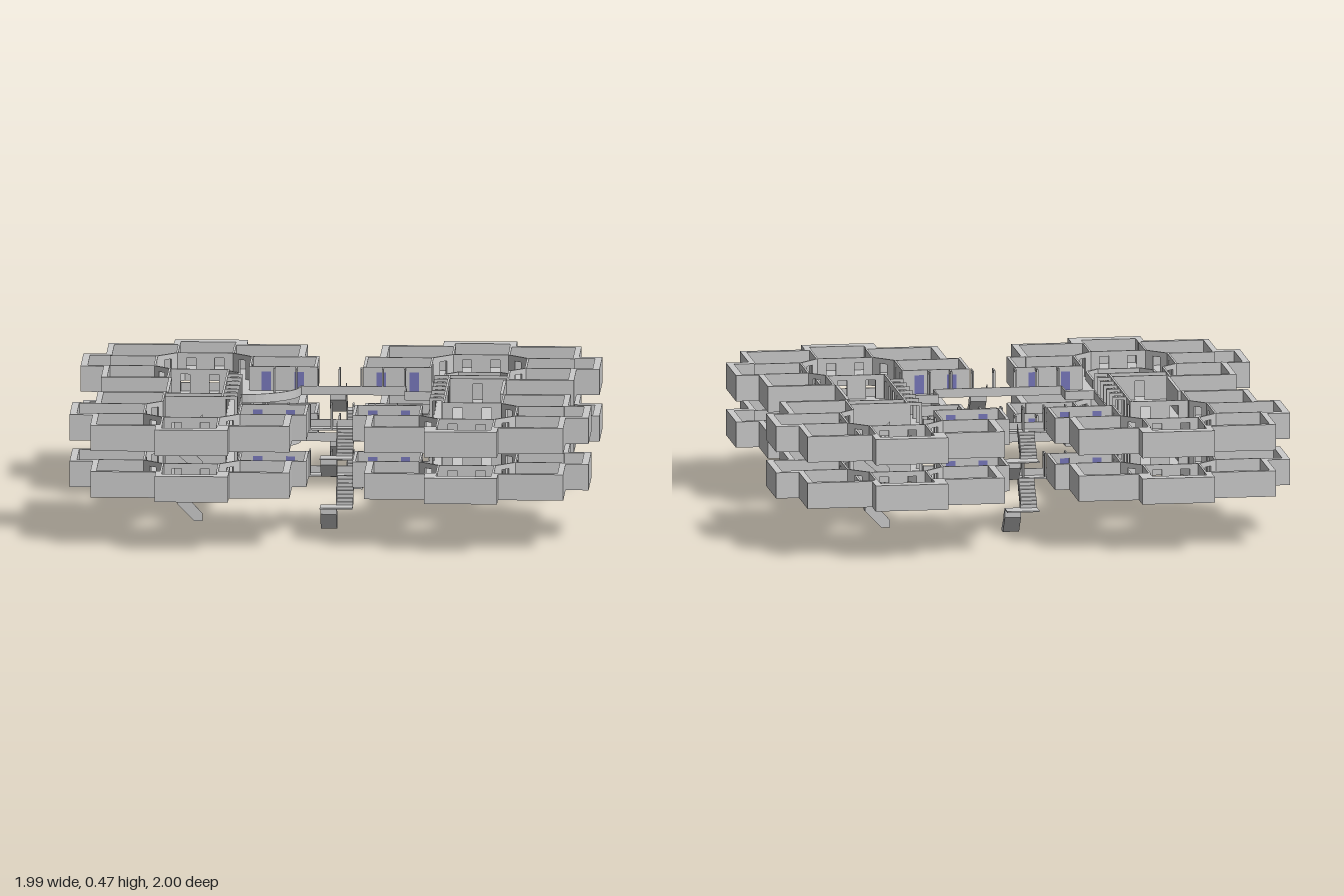
import * as THREE from 'three';

const grey = new THREE.MeshStandardMaterial({ color: 0xcccccc, side: THREE.DoubleSide });
const blue = new THREE.MeshStandardMaterial({ color: 0x7777bb });
const FLOOR = 0.007, WALL = 0.1, RAIL = 0.034, DOOR_H = 0.08, DOOR_W = 0.036;

// Outer and inner faces of the perimeter wall for one corner cluster (x, z).
const OUTER = [[.088, .415], [.088, .65], [.143, .65], [.143, .905], [.375, .905], [.375, 1], [.655, 1], [.655, .905],
  [.905, .905], [.905, .675], [.993, .675], [.993, .4], [.905, .4], [.905, .155], [.645, .155]];
const INNER = [[.1, .415], [.1, .635], [.17, .635], [.17, .882], [.42, .882], [.42, .95], [.63, .95], [.63, .882],
  [.882, .882], [.882, .64], [.966, .64], [.966, .42], [.882, .42], [.882, .175], [.645, .175]];
// Room partitions of one cluster: x1, z1, x2, z2, number of doorways.
const PARTITIONS = [
  [.42, .71, .42, .89, 0], [.635, .71, .635, .89, 0], [.71, .635, .89, .635, 0], [.71, .42, .89, .42, 0],
  [.16, .635, .345, .635, 0], [.42, .71, .635, .71, 2], [.71, .42, .71, .635, 2], [.345, .42, .345, .635, 2],
  [.42, .71, .345, .635, 1], [.635, .71, .71, .635, 1], [.71, .42, .65, .36, 1],
  [.65, .17, .65, .36, 0], [.095, .42, .345, .42, 2]];
const QUADS = [[1, 1], [1, -1], [-1, -1], [-1, 1]];

const mirror = (pts, sx, sz) => pts.map(([x, z]) => [x * sx, z * sz]);
const vec = pts => pts.map(([x, z]) => new THREE.Vector2(x, z));

// Octagonal light well in the middle of a cluster.
function octagon(cx, cz, a, b, c) {
  return [[a, b - c], [a - c, b], [c - a, b], [-a, b - c], [-a, c - b], [c - a, -b], [a - c, -b], [a, c - b]]
    .map(([x, z]) => [x + cx, z + cz]);
}

// Courtyard edge, with one rounded balcony corner.
const COURT = [[.255, -.368], [.255, -.26], [.365, -.26], [.365, .25], [.235, .25], [.235, .365],
  [-.26, .365], [-.26, .25], [-.37, .25]];
for (let i = 0; i <= 12; i++) {
  const a = Math.PI / 2 * (1 - i / 12);
  COURT.push([-.37 + .22 * Math.cos(a), -.368 + .195 * Math.sin(a)]);
}

function add(parent, geo, name, mat = grey) {
  const m = new THREE.Mesh(geo, mat);
  m.name = name;
  parent.add(m);
  return m;
}

// Plan shape raised from y = 0 to y = height.
function prism(parent, pts, holes, height, name) {
  const shape = new THREE.Shape(vec(pts));
  holes.forEach(h => shape.holes.push(new THREE.Path(vec(h))));
  const geo = new THREE.ExtrudeGeometry(shape, { depth: height, bevelEnabled: false });
  geo.rotateX(Math.PI / 2).translate(0, height, 0);
  return add(parent, geo, name);
}

// Straight wall between two plan points, with evenly spaced doorways.
function wall(parent, [x1, z1, x2, z2, doors = 0], name, h = WALL, t = .008, leaves = false) {
  const g = new THREE.Group(), len = Math.hypot(x2 - x1, z2 - z1);
  g.name = name;
  g.position.set(x1, 0, z1);
  g.rotation.y = -Math.atan2(z2 - z1, x2 - x1);
  parent.add(g);
  const piece = (a, b, y0, y1, label, mat, th = t) =>
    add(g, new THREE.BoxGeometry(b - a, y1 - y0, th).translate((a + b) / 2, (y0 + y1) / 2, 0), label, mat);
  let start = 0;
  for (let i = 0; i < doors; i++) {
    const c = len * (i + .5) / doors, a = c - DOOR_W / 2, b = c + DOOR_W / 2;
    piece(start, a, 0, h, 'wallPanel');
    piece(a, b, DOOR_H, h, 'lintel');
    if (leaves) piece(a, b, FLOOR, DOOR_H, 'doorLeaf', blue, .003);
    start = b;
  }
  piece(start, len, 0, h, 'wallPanel');
}

// Portal frame standing across a walkway.
function portal(parent, x1, z1, x2, z2) {
  const g = new THREE.Group(), len = Math.hypot(x2 - x1, z2 - z1), t = .006;
  g.name = 'walkwayPortal';
  g.position.set(x1, 0, z1);
  g.rotation.y = -Math.atan2(z2 - z1, x2 - x1);
  for (const x of [t, len - t]) add(g, new THREE.BoxGeometry(t * 2, WALL, t).translate(x, WALL / 2, 0), 'portalPost');
  add(g, new THREE.BoxGeometry(len, .012, t).translate(len / 2, WALL - .006, 0), 'portalBeam');
  parent.add(g);
}

// One hall wing beside the courtyard (right-hand side; rotated for the other).
function wing(parent) {
  const g = new THREE.Group();
  g.name = 'hallWing';
  wall(g, [.64, -.156, .64, .156], 'wingOuterWall', WALL, .012);
  wall(g, [.425, -.25, .425, .35, 6], 'wingInnerWall');
  wall(g, [.425, -.25, .645, -.25], 'wingEndWall');
  wall(g, [.425, -.18, .645, -.18, 1], 'wingCrossWall');
  wall(g, [.425, .35, .645, .35, 2], 'wingEndWall');
  for (let i = 0; i < 7; i++) portal(g, .368, -.25 + i * .083, .425, -.25 + i * .083);
  parent.add(g);
  return g;
}

function storey(y) {
  const g = new THREE.Group();
  g.name = 'storey';
  g.position.y = y;
  const outline = QUADS.flatMap(([sx, sz]) => {
    const p = mirror(OUTER, sx, sz);
    return sx * sz > 0 ? p : p.reverse();
  });
  // Floor slab with courtyard, light wells and side stair openings.
  const wells = QUADS.map(([sx, sz]) => octagon(.523 * sx, .53 * sz, .125, .13, .045));
  const stairHoles = [1, -1].map(s => mirror([[.5, -.34], [.6, -.34], [.6, -.262], [.5, -.262]], s, s));
  prism(g, outline, [COURT, ...wells, ...stairHoles], FLOOR, 'floorSlab');

  QUADS.forEach(([sx, sz]) => {
    const c = new THREE.Group();
    c.name = 'roomCluster';
    g.add(c);
    prism(c, mirror([...OUTER, ...INNER.slice().reverse()], sx, sz), [], WALL, 'perimeterWall');
    prism(c, octagon(.523 * sx, .53 * sz, .134, .139, .049), [octagon(.523 * sx, .53 * sz, .125, .13, .045)],
      .04, 'lightWellParapet');
    PARTITIONS.forEach(([a, b, d, e, n], i) =>
      wall(c, [a * sx, b * sz, d * sx, e * sz, n], 'roomPartition', WALL, .008, i === PARTITIONS.length - 1));
  });

  wing(g);
  wing(g).rotation.y = Math.PI;
  // Courtyard railing and portals on the front and back walkways.
  COURT.forEach((p, i) => wall(g, [...p, ...COURT[(i + 1) % COURT.length]], 'courtyardRail', RAIL, .006));
  for (const s of [1, -1])
    for (let i = 0; i < 7; i++) portal(g, -.25 + i * .083, .368 * s, -.25 + i * .083, .42 * s);
  return g;
}

// Stepped flight, from z = 0 up to z = run.
function flight(width, run, rise) {
  const steps = 8, pts = [[0, 0]];
  for (let i = 0; i < steps; i++) {
    pts.push([run * i / steps, rise * (i + 1) / steps], [run * (i + 1) / steps, rise * (i + 1) / steps]);
  }
  pts.push([run, rise - .036], [.032, 0]);
  const geo = new THREE.ExtrudeGeometry(new THREE.Shape(vec(pts)), { depth: width, bevelEnabled: false });
  return geo.rotateY(-Math.PI / 2).translate(width / 2, 0, 0);
}

// Half-turn stair: two flights side by side, a landing and a sloping centre rail.
function stair(x, y, z, turn, w, run, landing, rise) {
  const g = new THREE.Group(), h = rise / 2;
  g.name = 'stair';
  g.position.set(x, y, z);
  g.rotation.y = turn;
  add(g, flight(w, run, h), 'lowerFlight').position.x = -w / 2;
  const up = add(g, flight(w, run, h), 'upperFlight');
  up.position.set(w / 2, h, run);
  up.rotation.y = Math.PI;
  add(g, new THREE.BoxGeometry(w * 2, .005, landing).translate(0, h - .0025, run + landing / 2), 'landing');
  for (const [a, b] of [[0, h], [rise, h]]) {
    const s = new THREE.Shape(vec([[0, a], [run, b], [run, b + .03], [0, a + .03]]));
    const geo = new THREE.ExtrudeGeometry(s, { depth: .003, bevelEnabled: false });
    add(g, geo.rotateY(-Math.PI / 2), 'stairRail');
  }
  return g;
}

export function createModel() {
  const model = new THREE.Group();
  model.name = 'schoolBuilding';
  const levels = [.195, .375];
  levels.forEach(y => model.add(storey(y)));
  // Four stair towers, each climbing from the ground to both storeys.
  [[0, levels[0] + FLOOR], [levels[0] + FLOOR, levels[1] - levels[0]]].forEach(([y, rise]) => {
    model.add(stair(.0225, y, .42, 0, .0625, .085, .067, rise));
    model.add(stair(.0225, y, -.42, Math.PI, .0625, .085, .067, rise));
    model.add(stair(-.5, y, .3, -Math.PI / 2, .04, .095, .04, rise));
    model.add(stair(.5, y, -.3, Math.PI / 2, .04, .095, .04, rise));
  });
  return model;
}
